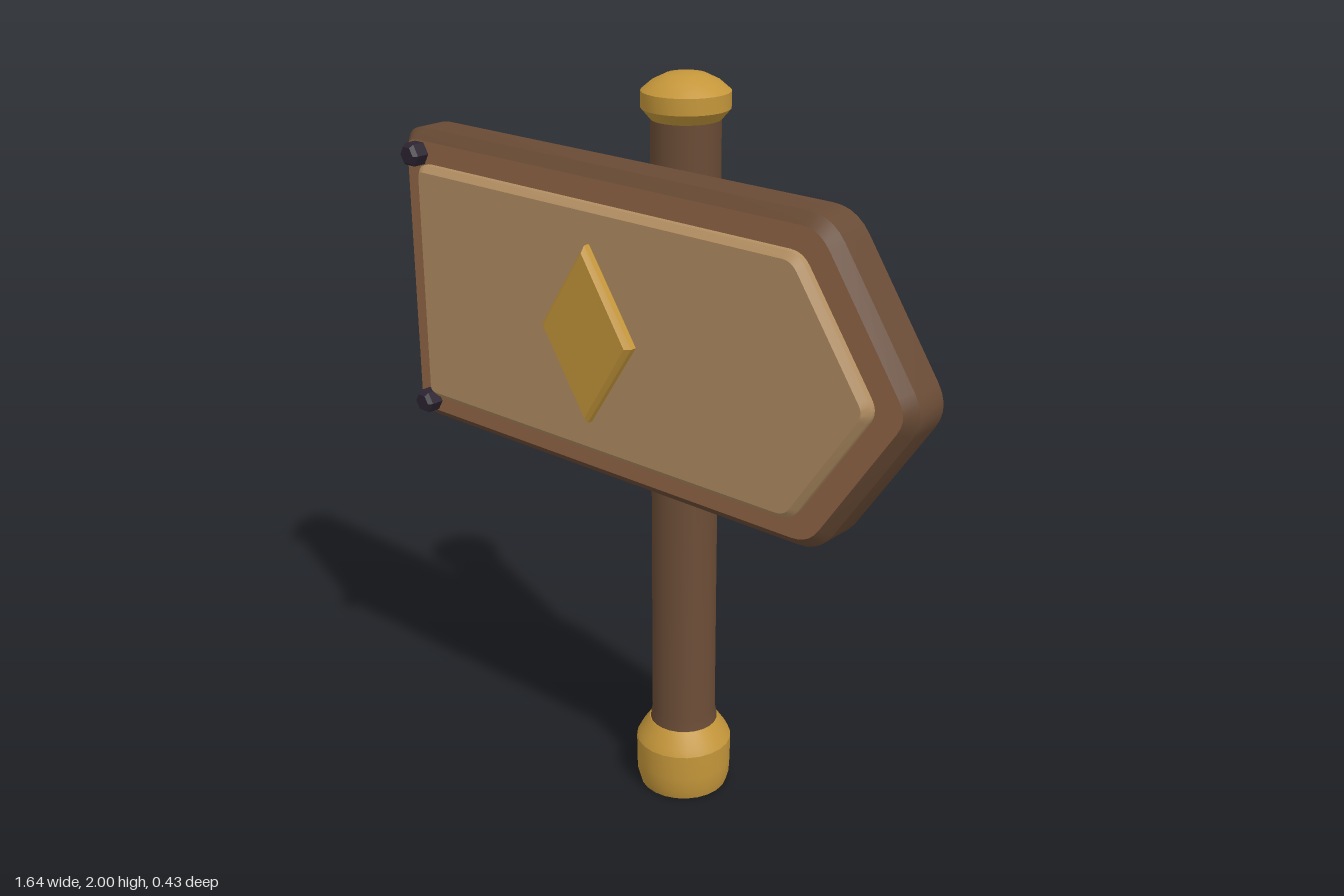
import * as THREE from 'three';
import { toCreasedNormals } from 'three/addons/utils/BufferGeometryUtils.js';

const mat = (name, color) => {
  const m = new THREE.MeshStandardMaterial({ color });
  m.name = name;
  return m;
};

// Closed polygon whose corners are rounded, starting d away from each corner
function roundedShape(corners, d) {
  const pts = corners.map(([x, y]) => new THREE.Vector2(x, y));
  const shape = new THREE.Shape();
  pts.forEach((p, i) => {
    const prev = pts[(i + pts.length - 1) % pts.length];
    const next = pts[(i + 1) % pts.length];
    const a = prev.clone().sub(p).setLength(d).add(p);
    const b = next.clone().sub(p).setLength(d).add(p);
    if (i === 0) shape.moveTo(a.x, a.y);
    else shape.lineTo(a.x, a.y);
    shape.quadraticCurveTo(p.x, p.y, b.x, b.y);
  });
  shape.closePath();
  return shape;
}

// Bevelled plate between two z planes; the shape is its widest outline
function plate(name, shape, z0, z1, bevel, materials) {
  const geo = new THREE.ExtrudeGeometry(shape, {
    depth: z1 - z0 - 2 * bevel,
    bevelThickness: bevel,
    bevelSize: bevel,
    bevelOffset: -bevel,
    bevelSegments: 1,
    curveSegments: 5,
  });
  geo.translate(0, 0, z0 + bevel);
  const mesh = new THREE.Mesh(toCreasedNormals(geo, 0.5), materials);
  mesh.name = name;
  return mesh;
}

function turned(name, profile, sides, material) {
  const geo = new THREE.LatheGeometry(profile.map(([r, y]) => new THREE.Vector2(r, y)), sides);
  const mesh = new THREE.Mesh(toCreasedNormals(geo, 0.45), material);
  mesh.name = name;
  return mesh;
}

export function createModel() {
  const darkWood = mat('dark wood', 0x694b35);
  const wood = mat('wood', 0x936847);
  const paleWood = mat('pale wood', 0xb38f63);
  const gold = mat('gold', 0xc4963a);
  const iron = mat('dark iron', 0x2c2431);

  const group = new THREE.Group();
  group.name = 'signpost';

  // Post with its gold foot and cap
  const post = new THREE.Group();
  post.name = 'post';
  post.position.set(-0.024, 0, -0.083);
  post.add(
    turned('shaft', [[0.094, 0.195], [0.0875, 0.235], [0.0875, 1.9]], 24, darkWood),
    turned('foot', [[0, 0], [0.122, 0], [0.13, 0.03], [0.132, 0.07], [0.132, 0.14],
      [0.122, 0.16], [0.095, 0.2], [0, 0.2]], 24, gold),
    turned('cap', [[0, 1.885], [0.088, 1.885], [0.111, 1.912], [0.111, 1.953],
      [0.085, 1.975], [0.05, 1.992], [0, 2]], 24, gold),
  );
  group.add(post);

  // Arrow-shaped board with dark edges
  const mid = 1.385;
  const arrow = (left, half, shoulder, tip, d) => roundedShape([
    [left, mid - half], [shoulder, mid - half], [tip, mid],
    [shoulder, mid + half], [left, mid + half],
  ], d);
  group.add(plate('board', arrow(-0.82, 0.405, 0.563, 0.834, 0.065), 0, 0.145, 0.027, [wood, darkWood]));

  // Raised inner panel
  group.add(plate('panel', arrow(-0.73, 0.322, 0.512, 0.729, 0.035), 0.135, 0.182, 0.016, paleWood));

  // Diamond emblem
  const diamond = new THREE.Shape([[0, -0.23], [0.15, 0], [0, 0.23], [-0.15, 0]]
    .map(([x, y]) => new THREE.Vector2(x - 0.1, y + mid)));
  group.add(plate('emblem', diamond, 0.175, 0.215, 0.012, gold));

  // Hexagonal bolts at the two square corners
  for (const side of [-1, 1]) {
    const bolt = turned(side > 0 ? 'upperBolt' : 'lowerBolt',
      [[0, 0], [0.033, 0], [0.033, 0.042], [0.024, 0.053], [0, 0.053]], 6, iron);
    bolt.geometry.rotateY(Math.PI / 2).rotateX(Math.PI / 2);
    bolt.position.set(-0.745, mid + side * 0.345, 0.138);
    group.add(bolt);
  }
  return group;
}
